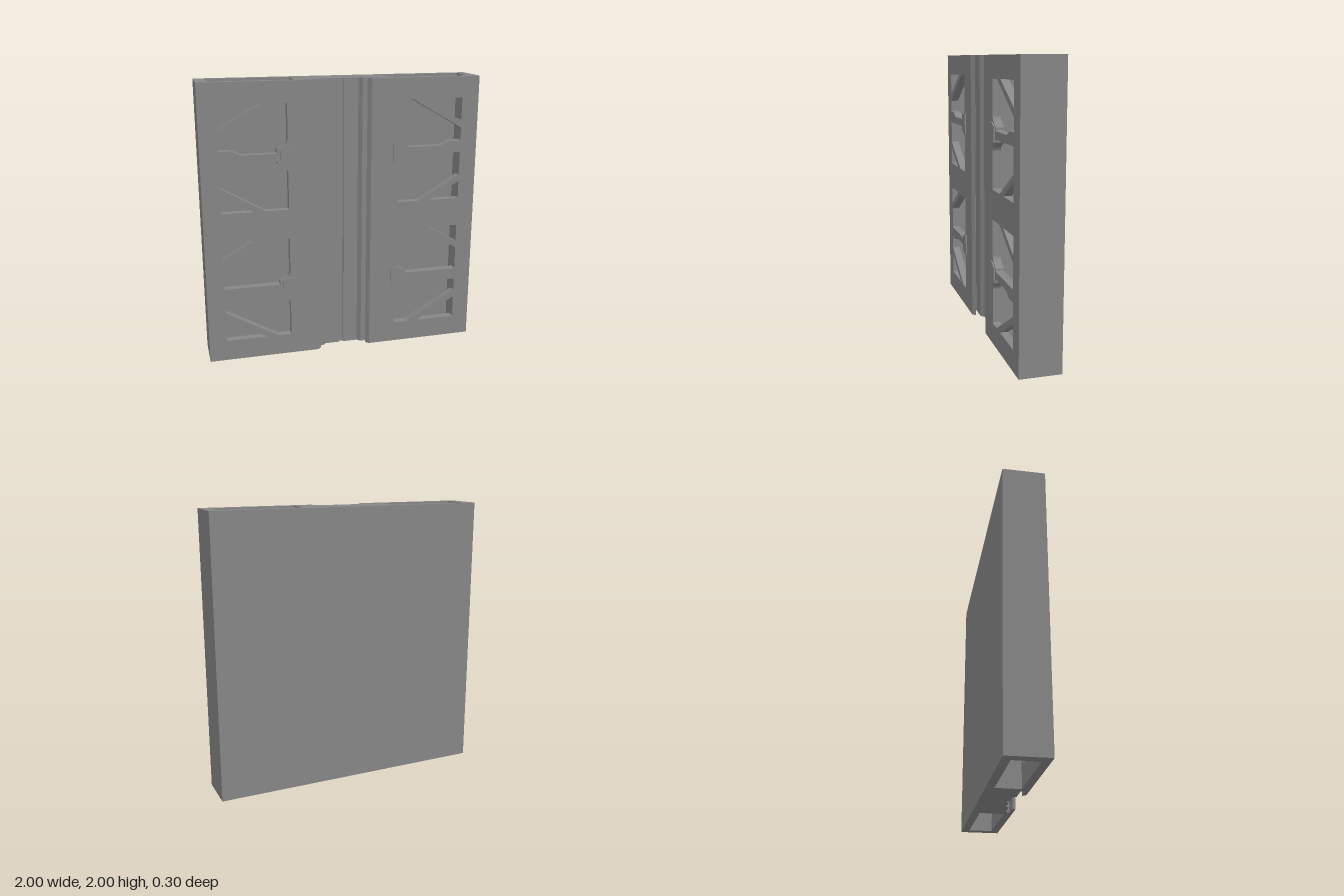
import * as THREE from 'three';

const WALL_BACK = 0.085, WALL_FRONT = 0.142, BOSS_FRONT = 0.152;

// Polygon with optional tiny rounded corners
function outline(points, Type = THREE.Path, r = 0) {
  const path = new Type();
  const v = points.map(([x, y]) => new THREE.Vector2(x, y));
  v.forEach((p, i) => {
    const step = (q) => q.clone().sub(p).setLength(r).add(p);
    const a = step(v[(i + v.length - 1) % v.length]);
    const b = step(v[(i + 1) % v.length]);
    if (i === 0) path.moveTo(a.x, a.y);
    else path.lineTo(a.x, a.y);
    if (r > 0) path.quadraticCurveTo(p.x, p.y, b.x, b.y);
  });
  path.closePath();
  return path;
}

// Extrude a front-facing shape between two depths
function plate(shape, z0, z1) {
  const g = new THREE.ExtrudeGeometry(shape, { depth: z1 - z0, bevelEnabled: false, curveSegments: 3 });
  return g.translate(0, 0, z0);
}

// Windows of one truss bay, on the +x side of the upper half
const WINDOWS = [
  [[0.58, 1.85], [0.875, 1.85], [0.875, 1.685]],
  [[0.4, 1.85], [0.495, 1.85], [0.875, 1.632], [0.875, 1.538], [0.785, 1.538], [0.725, 1.507],
    [0.475, 1.507], [0.475, 1.535], [0.415, 1.57], [0.4, 1.595]],
  [[0.475, 1.452], [0.875, 1.452], [0.875, 1.283], [0.565, 1.104], [0.4, 1.104], [0.4, 1.37],
    [0.415, 1.395], [0.475, 1.43]],
  [[0.875, 1.235], [0.875, 1.104], [0.65, 1.104]],
];
const BOSS = [[0.36, 1.56], [0.41, 1.56], [0.455, 1.535], [0.455, 1.43], [0.41, 1.403], [0.36, 1.403]];

// Mirror points sideways and, for the lower bay, upside down
const place = (points, side, lower) => points.map(([x, y]) => [side * x, lower ? 2 - y : y]);

export function createModel() {
  const group = new THREE.Group();
  const material = new THREE.MeshStandardMaterial({ color: 0x868686 });
  const add = (name, geometry) => {
    const mesh = new THREE.Mesh(geometry, material);
    mesh.name = name;
    group.add(mesh);
  };

  // Body: constant section with central undercut channel and two side cavities (x, z)
  const half = [
    [0.015, 0.046], [0.015, 0.062], [0.122, 0.062], [0.147, 0.087], [0.285, 0.087], [0.285, 0.117],
    [0.173, 0.117], [0.198, WALL_FRONT], [0.34, WALL_FRONT], [0.34, -0.093], [0.925, -0.093],
    [0.925, WALL_FRONT], [1, WALL_FRONT], [1, -0.15],
  ];
  const section = [...half, ...half.map(([x, z]) => [-x, z]).reverse()].map(([x, z]) => [x, -z]);
  const body = plate(outline(section, THREE.Shape), 0, 2);
  body.rotateX(-Math.PI / 2);
  add('body', body);

  for (const side of [1, -1]) {
    const label = side > 0 ? 'left' : 'right';

    // Front wall of the cavity, pierced by the truss windows of both bays;
    // its corners run counter-clockwise on both sides so the window edges face inwards
    const [x0, x1] = side > 0 ? [0.34, 0.925] : [-0.925, -0.34];
    const wall = outline([[x0, 0], [x1, 0], [x1, 2], [x0, 2]], THREE.Shape);
    for (const lower of [false, true]) {
      for (const w of WINDOWS) wall.holes.push(outline(place(w, side, lower), THREE.Path, 0.008));

      // Raised stop at the root of the truss arm
      const boss = outline(place(BOSS, side, lower), THREE.Shape);
      add(`${label}${lower ? 'Lower' : 'Upper'}Stop`, plate(boss, WALL_FRONT - 0.01, BOSS_FRONT));
    }
    add(`${label}FrontWall`, plate(wall, WALL_BACK, WALL_FRONT));
  }
  return group;
}
